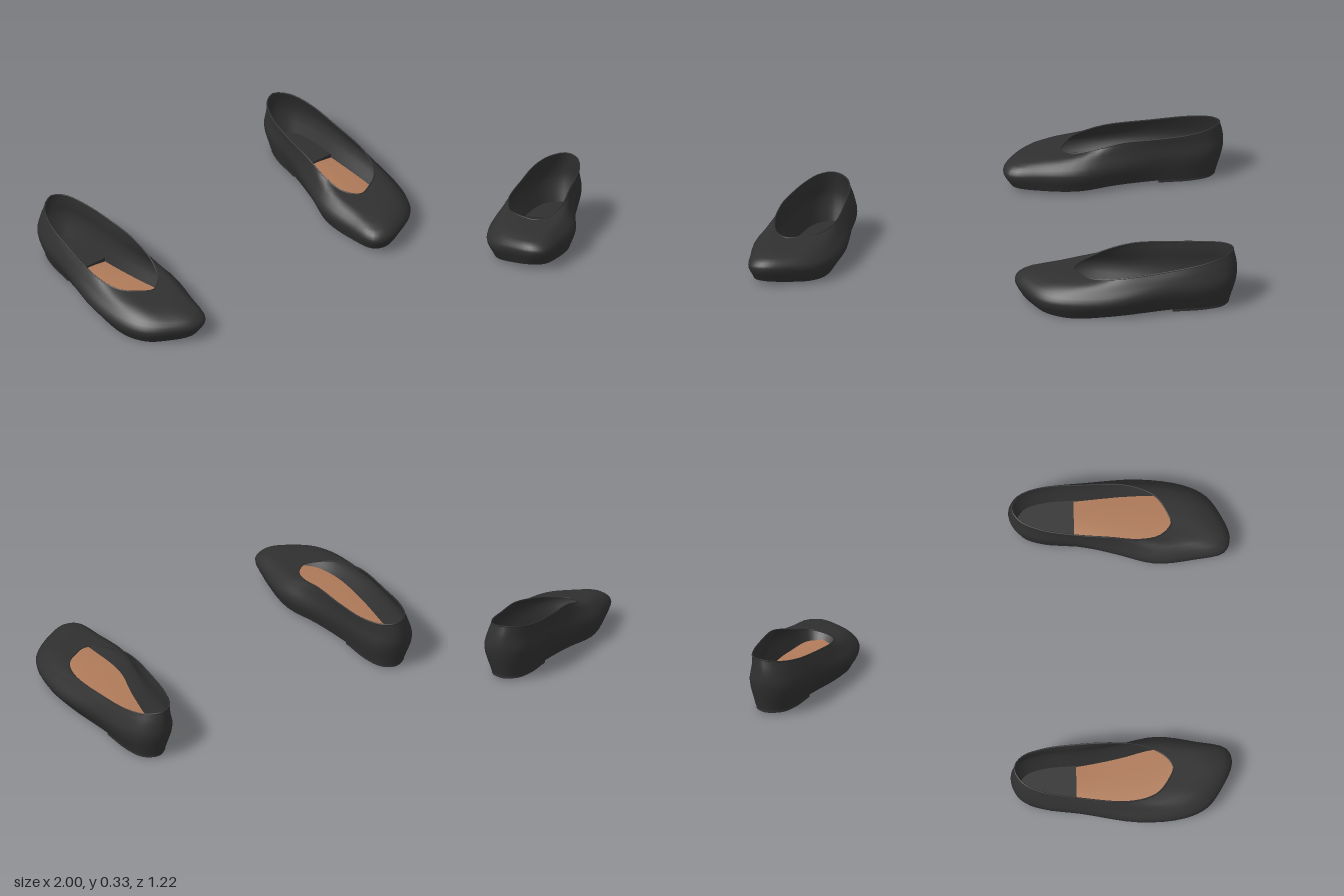
import * as THREE from 'three';

// Rings of the left shoe, from the heel round the outer side to the toe and back.
const bottomRing = [
  [.77, .03, -.57], [.85, .03, -.53], [.89, .03, -.42], [.905, .03, -.25],
  [.94, .012, .08], [.935, .005, .31], [.88, .012, .44], [.79, .02, .51],
  [.67, .03, .565], [.60, .03, .54], [.56, .025, .39], [.545, .025, .19],
  [.60, .03, -.02], [.645, .03, -.25], [.66, .03, -.42], [.70, .03, -.53]];
const bulgeRing = [
  [.77, .18, -.61], [.87, .17, -.57], [.93, .16, -.44], [.96, .15, -.22],
  [1.0, .11, .10], [.97, .10, .35], [.91, .10, .47], [.80, .11, .55],
  [.66, .11, .605], [.575, .11, .575], [.535, .12, .40], [.51, .13, .19],
  [.56, .14, -.02], [.61, .16, -.24], [.63, .17, -.44], [.68, .18, -.565]];
const shoulderRing = [
  [.77, .26, -.608], [.86, .25, -.56], [.91, .24, -.44], [.94, .22, -.22],
  [.96, .18, .08], [.93, .165, .32], [.87, .165, .43], [.78, .16, .51],
  [.67, .16, .56], [.60, .16, .53], [.575, .175, .38], [.555, .20, .17],
  [.585, .225, -.03], [.615, .25, -.24], [.64, .25, -.44], [.69, .26, -.56]];
const rimRing = [
  [.76, .328, -.592], [.84, .315, -.545], [.89, .295, -.43], [.915, .265, -.22],
  [.925, .235, .03], [.89, .215, .16], [.85, .21, .215], [.79, .205, .255],
  [.715, .20, .285], [.67, .205, .26], [.63, .215, .21], [.60, .25, .10],
  [.60, .288, -.05], [.612, .298, -.24], [.64, .308, -.43], [.69, .322, -.55]];

const AROUND = 64, UP = 12, ACROSS = 8, HEEL_END = 12;

// Smooth surface through rows of points; flip reverses the corner order.
function surface(rows, closed, flip) {
  const n = rows[0].length, pos = [], idx = [];
  rows.forEach(r => r.forEach(p => pos.push(p.x, p.y, p.z)));
  for (let j = 0; j < rows.length - 1; j++) {
    for (let i = 0; i < (closed ? n : n - 1); i++) {
      const i2 = (i + 1) % n;
      const a = j * n + i, b = j * n + i2, c = a + n, d = b + n;
      if (flip) idx.push(a, b, c, b, d, c);
      else idx.push(a, c, b, b, c, d);
    }
  }
  const g = new THREE.BufferGeometry();
  g.setAttribute('position', new THREE.Float32BufferAttribute(pos, 3));
  g.setIndex(idx);
  g.computeVertexNormals();
  return g;
}

function buildShoe(side, leather, tan) {
  const shoe = new THREE.Group();
  const add = (name, geometry, material) => {
    const m = new THREE.Mesh(geometry, material);
    m.name = name;
    shoe.add(m);
  };
  const curves = [bottomRing, bulgeRing, shoulderRing, rimRing].map(ring =>
    new THREE.CatmullRomCurve3(ring.map(([x, y, z]) => new THREE.Vector3(x * side, y, z)), true));
  const rings = curves.map(c =>
    Array.from({ length: AROUND }, (_, k) => c.getPoint(k / AROUND)));

  // Upper: a vertical curve through the four rings at every step round the shoe
  const ribs = rings[0].map((_, k) => new THREE.CatmullRomCurve3(rings.map(r => r[k])));
  const rows = Array.from({ length: UP + 1 }, (_, j) => ribs.map(r => r.getPoint(j / UP)));
  add('upper', surface(rows, true, side < 0), leather);
  add('collar', new THREE.TubeGeometry(curves[3], AROUND, 0.004, 6, true), leather);

  // Sole: strips from the outer to the inner edge, gently arched
  const base = rings[0];
  const strips = [];
  for (let k = 0; k <= AROUND / 2; k++) {
    const a = base[k], b = base[(AROUND - k) % AROUND];
    strips.push(Array.from({ length: ACROSS + 1 }, (_, j) => {
      const p = a.clone().lerp(b, j / ACROSS);
      p.y += 0.012 * Math.sin(Math.PI * j / ACROSS);
      return p;
    }));
  }
  add('sole', surface(strips, false, side < 0), tan);

  // Heel: a low block just inside the sole edge, showing below and as the inner heel pad
  const outline = [];
  for (let k = -HEEL_END; k <= HEEL_END; k++) {
    const p = base[(k + AROUND) % AROUND];
    outline.push(new THREE.Vector2(side * 0.775 + (p.x - side * 0.775) * 0.98, p.z * 0.99 - 0.003));
  }
  const heel = new THREE.ExtrudeGeometry(new THREE.Shape(outline), { depth: 0.04, bevelEnabled: false });
  heel.rotateX(Math.PI / 2).translate(0, 0.055, 0);
  add('heel', heel, leather);
  return shoe;
}

export function createModel() {
  const leather = new THREE.MeshStandardMaterial({ color: 0x303030, side: THREE.DoubleSide });
  leather.name = 'black leather';
  const tan = new THREE.MeshStandardMaterial({ color: 0xb07b5a, side: THREE.DoubleSide });
  tan.name = 'tan sole';

  const model = new THREE.Group();
  model.name = 'pairOfFlatShoes';
  for (const [name, side] of [['leftShoe', 1], ['rightShoe', -1]]) {
    const shoe = buildShoe(side, leather, tan);
    shoe.name = name;
    model.add(shoe);
  }
  return model;
}
